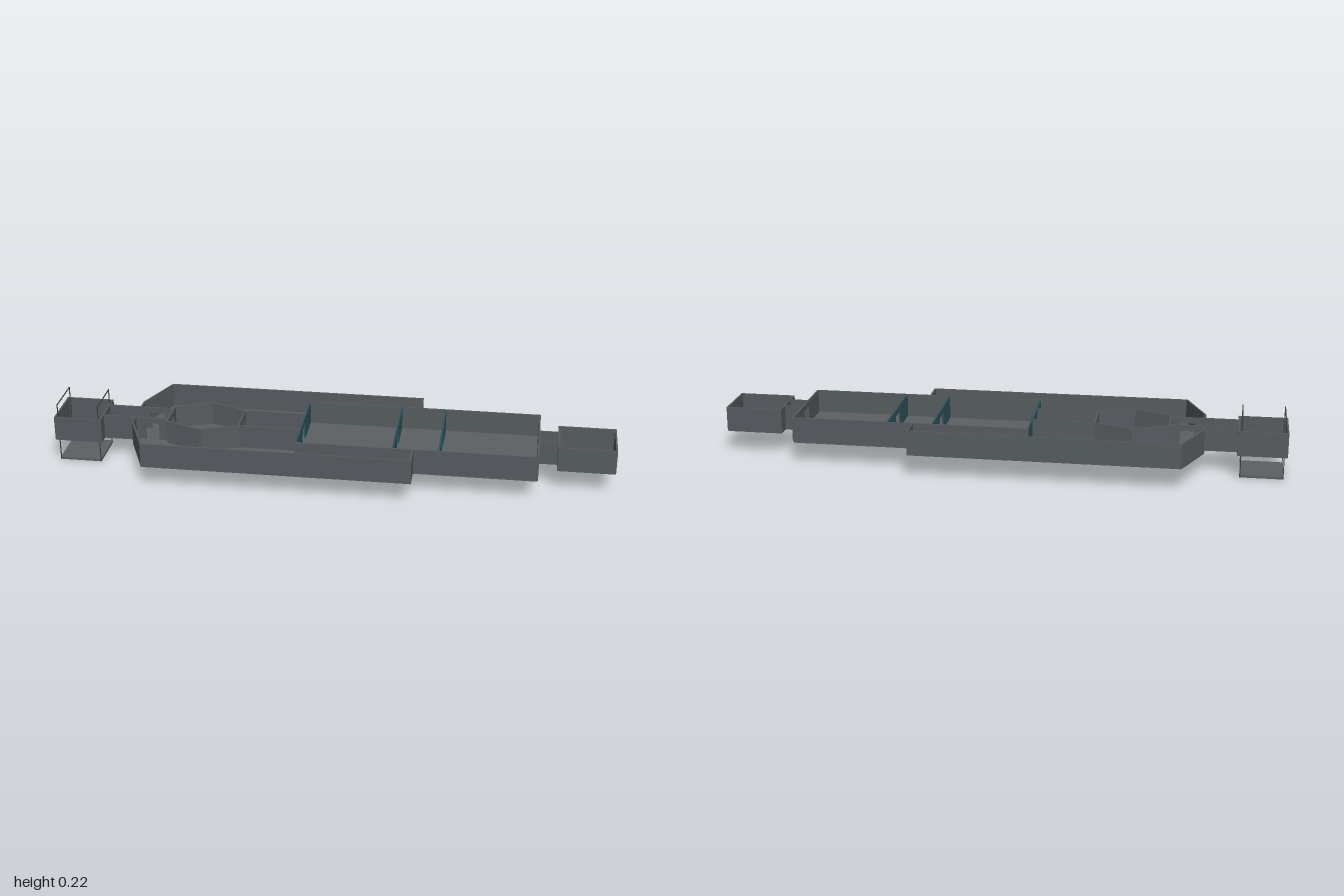
import * as THREE from 'three';

const FLOOR = 0.083, TOP = 0.172, THICK = 0.006, DOOR_TOP = 0.15;

function material(name, color, extra = {}) {
  const m = new THREE.MeshStandardMaterial({ color, ...extra });
  m.name = name;
  return m;
}

export function createModel() {
  const model = new THREE.Group();
  model.name = 'deckSection';
  const wallMat = material('wall grey', 0x565b5f);
  const floorMat = material('floor grey', 0x5c6063);
  const tealMat = material('partition teal', 0x31545c);
  const frameMat = material('frame dark grey', 0x3c3f42);

  function box(parent, name, mat, x0, x1, y0, y1, z0, z1) {
    const mesh = new THREE.Mesh(new THREE.BoxGeometry(x1 - x0, y1 - y0, z1 - z0), mat);
    mesh.position.set((x0 + x1) / 2, (y0 + y1) / 2, (z0 + z1) / 2);
    mesh.name = name;
    parent.add(mesh);
  }

  // Upright wall between two plan points, with an optional doorway [from, to] along it
  function wall(name, [ax, az], [bx, bz], door, mat = wallMat) {
    const g = new THREE.Group();
    g.name = name;
    const length = Math.hypot(bx - ax, bz - az);
    const h = THICK / 2;
    if (door) {
      box(g, 'wallPanel', mat, -h, door[0], FLOOR, TOP, -h, h);
      box(g, 'wallPanel', mat, door[1], length + h, FLOOR, TOP, -h, h);
      box(g, 'lintel', mat, door[0], door[1], DOOR_TOP, TOP, -h, h);
    } else {
      box(g, 'wallPanel', mat, -h, length + h, FLOOR, TOP, -h, h);
    }
    g.position.set(ax, 0, az);
    g.rotation.y = -Math.atan2(bz - az, bx - ax);
    model.add(g);
  }

  // Wall across the deck at x with a doorway in the middle
  function crossWall(name, x, half, doorHalf, mat) {
    wall(name, [x, -half], [x, half], doorHalf && [half - doorHalf, half + doorHalf], mat);
  }

  // Pair of walls mirrored across the centre line, following a path
  function sideWalls(name, points, door) {
    for (const s of [-1, 1]) {
      for (let i = 0; i + 1 < points.length; i++) {
        const [a, b] = [points[i], points[i + 1]];
        wall(name, [a[0], s * a[1]], [b[0], s * b[1]], door);
      }
    }
  }

  // Floor plate from one half of a symmetric outline
  function floor(name, half, y0, y1) {
    const outline = [...half, ...half.map(([x, z]) => [x, -z]).reverse()];
    const shape = new THREE.Shape(outline.map(([x, z]) => new THREE.Vector2(x, z)));
    const geo = new THREE.ExtrudeGeometry(shape, { depth: y1 - y0, bevelEnabled: false });
    geo.rotateX(-Math.PI / 2);
    const mesh = new THREE.Mesh(geo, floorMat);
    mesh.position.y = y0;
    mesh.name = name;
    model.add(mesh);
  }

  // Outer hull with chamfered end
  const hull = [[-0.71, 0.085], [-0.64, 0.252], [0.3, 0.252]];
  floor('hullFloor', hull, 0.083, 0.087);
  sideWalls('hullWall', hull);
  sideWalls('hullEndWall', [[0.3, 0.168], [0.3, 0.252]]);
  sideWalls('hullNoseWall', [[-0.71, 0.043], [-0.71, 0.085]]);

  // Lift room
  floor('liftRoomFloor', [[-0.997, 0.085], [-0.83, 0.085]], 0.081, 0.086);
  sideWalls('liftRoomWall', [[-0.997, 0.085], [-0.83, 0.085]]);
  crossWall('liftRoomEndWall', -0.997, 0.085);
  crossWall('liftRoomDoorWall', -0.83, 0.085, 0.03);

  // Entry corridor, with side doors inside the hull
  floor('entryCorridorFloor', [[-0.83, 0.043], [-0.59, 0.043]], 0.080, 0.088);
  sideWalls('entryCorridorWall', [[-0.83, 0.043], [-0.71, 0.043]]);
  sideWalls('entryCorridorDoorWall', [[-0.71, 0.043], [-0.59, 0.043]], [0.035, 0.085]);

  // Six-sided hub
  const hub = [[-0.59, 0.062], [-0.46, 0.112], [-0.33, 0.065]];
  floor('hubFloor', hub, 0.080, 0.088);
  sideWalls('hubWall', hub);
  crossWall('hubEntryWall', -0.59, 0.062, 0.03);
  crossWall('hubExitWall', -0.33, 0.065, 0.03);

  // Middle corridor
  floor('middleCorridorFloor', [[-0.33, 0.063], [-0.11, 0.063]], 0.080, 0.088);
  sideWalls('middleCorridorWall', [[-0.33, 0.063], [-0.11, 0.063]]);

  // Main hall and its teal partitions
  floor('hallFloor', [[-0.108, 0.168], [0.73, 0.168]], 0.078, 0.089);
  sideWalls('hallWall', [[-0.108, 0.168], [0.73, 0.168]]);
  crossWall('hallEndWall', 0.73, 0.168, 0.03);
  for (const x of [-0.108, 0.23, 0.39]) crossWall('tealPartition', x, 0.165, 0.035, tealMat);

  // Short corridor to the end room
  floor('endCorridorFloor', [[0.73, 0.038], [0.8, 0.038]], 0.081, 0.087);
  sideWalls('endCorridorWall', [[0.73, 0.038], [0.8, 0.038]]);

  // End room with low tiers
  floor('endRoomFloor', [[0.8, 0.085], [0.997, 0.085]], 0.081, 0.086);
  sideWalls('endRoomWall', [[0.8, 0.085], [0.997, 0.085]]);
  crossWall('endRoomDoorWall', 0.8, 0.085, 0.03);
  crossWall('endRoomEndWall', 0.997, 0.085);
  box(model, 'lowerTier', floorMat, 0.803, 0.994, 0.086, 0.094, -0.035, 0.035);
  box(model, 'upperTier', floorMat, 0.803, 0.994, 0.086, 0.104, 0.035, 0.083);

  // Lift platform hung below, with two thin hoops
  const lift = new THREE.Group();
  lift.name = 'lift';
  box(lift, 'liftPlatform', floorMat, -0.99, -0.838, 0, 0.009, -0.077, 0.077);
  const r = 0.0015;
  for (const x of [-0.988, -0.84]) {
    for (const z of [-0.076, 0.076]) box(lift, 'liftPost', frameMat, x - r, x + r, 0, 0.218, z - r, z + r);
    box(lift, 'liftCrossbar', frameMat, x - r, x + r, 0.215, 0.218, -0.076, 0.076);
  }
  model.add(lift);

  return model;
}
